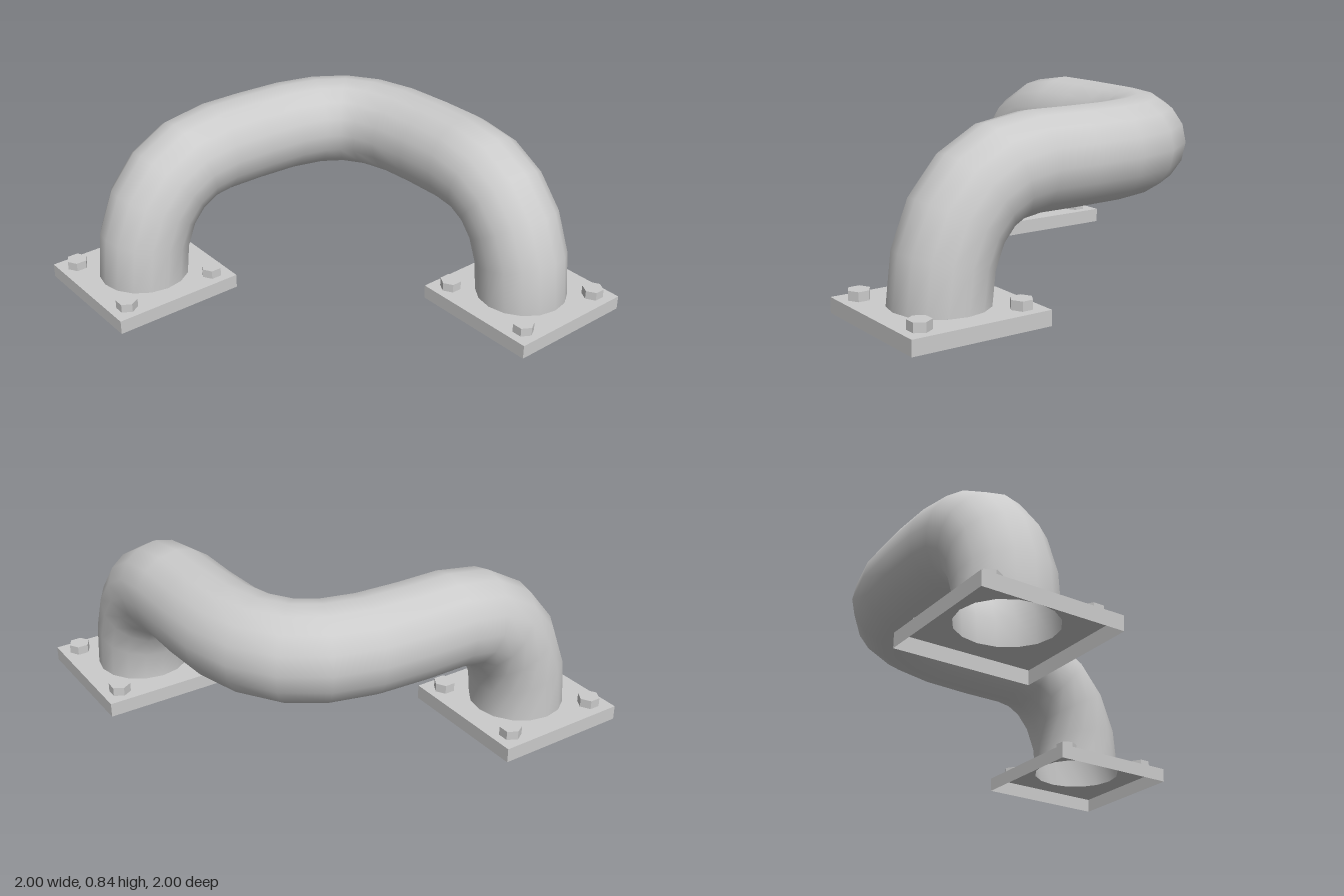
import * as THREE from 'three';

const C = 0.667;      // flange and pipe centre offset
const R = 0.224;      // pipe radius
const PLATE = 0.07;   // flange height
const AXIS = 0.62;    // height of the horizontal run

const smooth = new THREE.MeshStandardMaterial({ color: 0xcccccc, side: THREE.DoubleSide });
const flat = new THREE.MeshStandardMaterial({ color: 0xcccccc, side: THREE.DoubleSide, flatShading: true });

function mesh(name, geometry, material) {
  const m = new THREE.Mesh(geometry, material);
  m.name = name;
  return m;
}

const v = (x, y, z) => new THREE.Vector3(x, y, z);
const bezier = (...p) => new THREE.CubicBezierCurve3(...p);

// Joins curves end to end, giving each a fixed number of rings.
class PipePath extends THREE.Curve {
  constructor(pieces) {
    super();
    this.pieces = pieces;
    this.steps = pieces.reduce((sum, p) => sum + p.steps, 0);
  }
  locate(u) {
    let s = u * this.steps;
    let i = 0;
    while (i < this.pieces.length - 1 && s > this.pieces[i].steps + 1e-6) s -= this.pieces[i++].steps;
    return [this.pieces[i].curve, Math.min(1, Math.max(0, s / this.pieces[i].steps))];
  }
  getPointAt(u, target = v(0, 0, 0)) {
    const [curve, t] = this.locate(u);
    return target.copy(curve.getPoint(t));
  }
  getTangentAt(u, target = v(0, 0, 0)) {
    const [curve, t] = this.locate(u);
    return target.copy(curve.getTangent(t));
  }
}

// Pipe: up from one flange, round a level corner, down to the other
function createPipe() {
  const path = new PipePath([
    { steps: 5, curve: bezier(v(C, PLATE, -C), v(C, PLATE + 0.34, -C), v(0.485, AXIS, -C), v(0.21, AXIS, -C)) },
    { steps: 1, curve: new THREE.LineCurve3(v(0.21, AXIS, -C), v(0, AXIS, -C)) },
    { steps: 6, curve: bezier(v(0, AXIS, -C), v(-0.51, AXIS, -C), v(-C, AXIS, -0.51), v(-C, AXIS, 0)) },
    { steps: 1, curve: new THREE.LineCurve3(v(-C, AXIS, 0), v(-C, AXIS, 0.21)) },
    { steps: 5, curve: bezier(v(-C, AXIS, 0.21), v(-C, AXIS, 0.485), v(-C, PLATE + 0.34, C), v(-C, PLATE, C)) },
  ]);
  return mesh('pipe', new THREE.TubeGeometry(path, path.steps, R, 16, false), smooth);
}

// Flange: square cover, open underneath, with a hole for the pipe and four hex bolts
function createFlange(name, x, z) {
  const group = new THREE.Group();
  group.name = name;
  const half = 0.333;

  const square = new THREE.Shape([[-1, -1], [1, -1], [1, 1], [-1, 1]].map(([a, b]) => new THREE.Vector2(a * half, b * half)));
  const hole = Array.from({ length: 16 }, (_, i) => {
    const a = (-i / 16) * Math.PI * 2;
    return new THREE.Vector2(Math.cos(a) * R, Math.sin(a) * R);
  });
  square.holes.push(new THREE.Path(hole));
  const top = mesh('flangeTop', new THREE.ShapeGeometry(square).rotateX(-Math.PI / 2), flat);
  top.position.y = PLATE;

  const rim = new THREE.CylinderGeometry(half * Math.SQRT2, half * Math.SQRT2, PLATE, 4, 1, true).rotateY(Math.PI / 4);
  const sides = mesh('flangeSides', rim, flat);
  sides.position.y = PLATE / 2;
  group.add(top, sides);

  for (const sx of [-1, 1]) {
    for (const sz of [-1, 1]) {
      const bolt = mesh('bolt', new THREE.CylinderGeometry(0.052, 0.052, 0.043, 6), flat);
      bolt.position.set(sx * 0.244, PLATE + 0.0215, sz * 0.244);
      bolt.rotation.y = sx === sz ? Math.PI / 2 : 0;
      group.add(bolt);
    }
  }
  group.position.set(x, 0, z);
  return group;
}

export function createModel() {
  const model = new THREE.Group();
  model.name = 'pipeBend';
  model.add(createPipe(), createFlange('backFlange', C, -C), createFlange('frontFlange', -C, C));
  return model;
}
